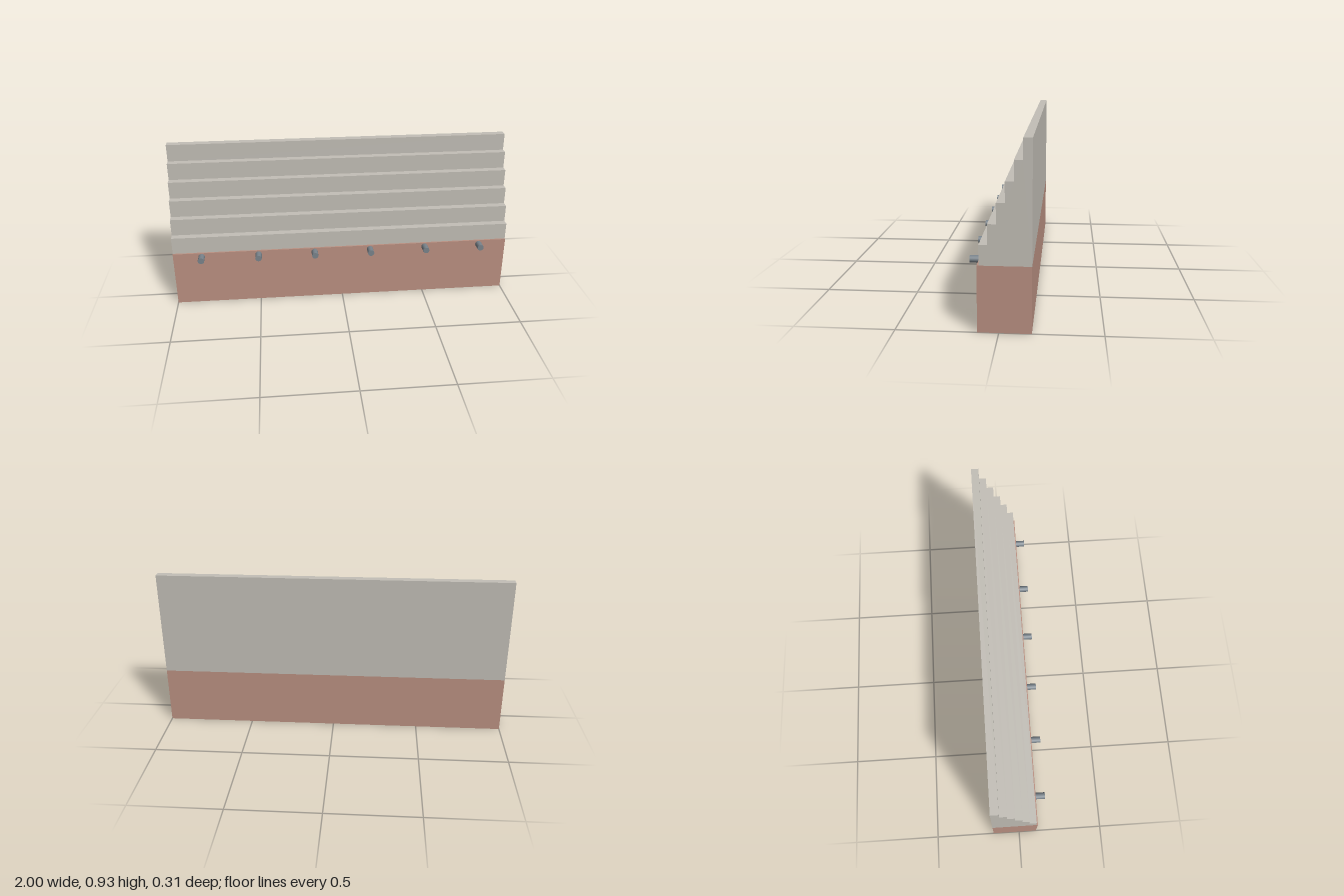
import * as THREE from 'three';

const material = (name, color) => {
  const m = new THREE.MeshStandardMaterial({ color });
  m.name = name;
  return m;
};

export function createModel() {
  const brick = material('brick', 0xbb9182);
  const stone = material('stone', 0xc3bfb7);
  const metal = material('metal', 0x7a848c);

  const group = new THREE.Group();
  group.name = 'steppedWall';
  const add = (name, geometry, mat) => {
    const mesh = new THREE.Mesh(geometry, mat);
    mesh.name = name;
    group.add(mesh);
    return mesh;
  };

  const back = -0.157, front = 0.103, baseTop = 0.333;

  // Brick footing
  add('base', new THREE.BoxGeometry(2, baseTop, front - back), brick)
    .position.set(0, baseTop / 2, (front + back) / 2);

  // Stepped upper wall: one side profile (z, y) swept along x
  const steps = 6, rise = 0.1, run = 0.0413, stepFront = 0.093;
  const profile = new THREE.Shape();
  profile.moveTo(-back, baseTop);
  profile.lineTo(-back, baseTop + steps * rise);
  for (let i = steps - 1; i >= 0; i--) {
    const z = stepFront - i * run;
    profile.lineTo(-z, baseTop + (i + 1) * rise);
    profile.lineTo(-z, baseTop + i * rise);
  }
  const wall = new THREE.ExtrudeGeometry(profile, { depth: 2, bevelEnabled: false });
  wall.translate(0, 0, -1).rotateY(Math.PI / 2);
  add('steppedTiers', wall, stone);

  // Drain pipes along the front
  const pipeLength = 0.054;
  const pipe = new THREE.CylinderGeometry(0.019, 0.019, pipeLength, 12).rotateX(Math.PI / 2);
  for (let i = 0; i < 6; i++) {
    add('drainPipe', pipe, metal)
      .position.set((i - 2.5) / 3, 0.31, front + pipeLength / 2);
  }

  return group;
}
